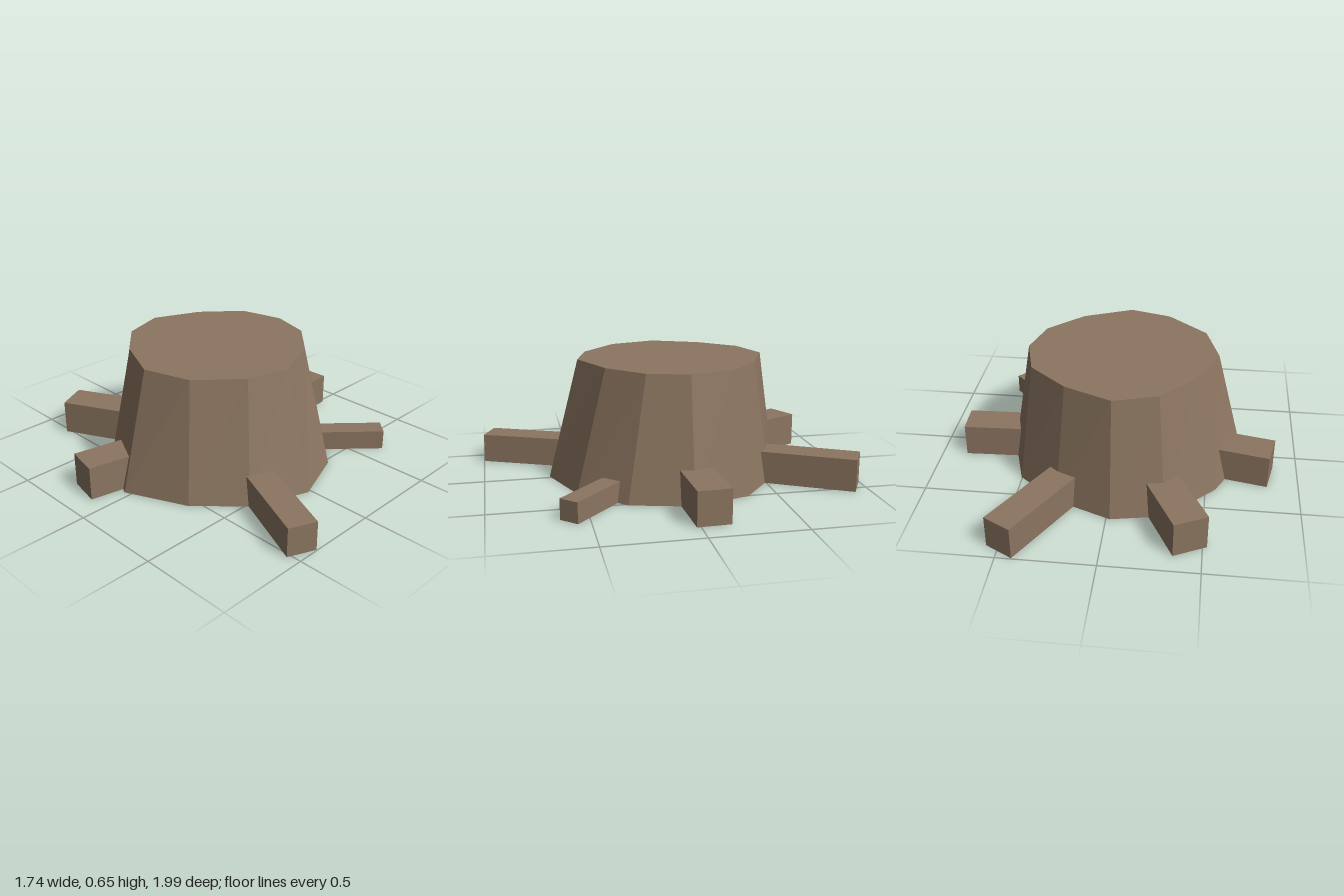
import * as THREE from 'three';

// Irregular twelve-sided rings as [x, z], starting at the back and turning towards +x
const BASE = [[-0.02, -0.65], [0.28, -0.53], [0.505, -0.345], [0.6, -0.037], [0.515, 0.29], [0.295, 0.525],
  [-0.02, 0.645], [-0.335, 0.52], [-0.555, 0.295], [-0.705, -0.037], [-0.555, -0.34], [-0.3, -0.595]];
const TOP = [[-0.02, -0.555], [0.23, -0.445], [0.43, -0.27], [0.49, -0.037], [0.43, 0.18], [0.245, 0.36],
  [-0.02, 0.475], [-0.245, 0.41], [-0.46, 0.22], [-0.535, -0.037], [-0.42, -0.295], [-0.25, -0.485]];
const HEIGHT = 0.655;

// Tapered trunk between the two rings, closed at both ends
function trunkGeometry() {
  const pos = [];
  const n = BASE.length;
  const low = (i) => [BASE[i % n][0], 0, BASE[i % n][1]];
  const high = (i) => [TOP[i % n][0], HEIGHT, TOP[i % n][1]];
  const tri = (a, b, c) => pos.push(...a, ...b, ...c);
  for (let i = 0; i < n; i++) {
    tri(low(i + 1), low(i), high(i));
    tri(low(i + 1), high(i), high(i + 1));
    tri([-0.02, HEIGHT, -0.037], high(i + 1), high(i));
    tri([-0.02, 0, -0.037], low(i), low(i + 1));
  }
  const geo = new THREE.BufferGeometry();
  geo.setAttribute('position', new THREE.Float32BufferAttribute(pos, 3));
  geo.computeVertexNormals();
  return geo;
}

export function createModel() {
  const model = new THREE.Group();
  model.name = 'treeStump';
  const bark = new THREE.MeshStandardMaterial({ color: 0x8b7560, flatShading: true });
  bark.name = 'bark brown';

  const trunk = new THREE.Mesh(trunkGeometry(), bark);
  trunk.name = 'trunk';
  model.add(trunk);

  // Square roots: outer end and a point at the trunk surface (x, z), width, height
  const roots = [
    ['backLeftRoot', [0.49, -0.955], [0.254, -0.53], 0.163, 0.175],
    ['backRightRoot', [-0.44, -0.85], [-0.285, -0.54], 0.185, 0.19],
    ['rightRoot', [-0.85, -0.195], [-0.6, -0.143], 0.184, 0.185],
    ['frontRightRoot', [-0.45, 0.965], [-0.263, 0.535], 0.155, 0.16],
    ['frontLeftRoot', [0.677, 0.605], [0.415, 0.36], 0.108, 0.11],
    ['leftRoot', [0.865, -0.067], [0.57, -0.056], 0.175, 0.18],
  ];
  for (const [name, outer, inner, width, height] of roots) {
    const dx = outer[0] - inner[0];
    const dz = outer[1] - inner[1];
    const length = Math.hypot(dx, dz) + 0.15; // buried a little in the trunk
    const geo = new THREE.BoxGeometry(width, height, length);
    geo.translate(0, height / 2, -length / 2);
    const root = new THREE.Mesh(geo, bark);
    root.name = name;
    root.position.set(outer[0], 0, outer[1]);
    root.rotation.y = Math.atan2(dx, dz);
    model.add(root);
  }
  return model;
}
